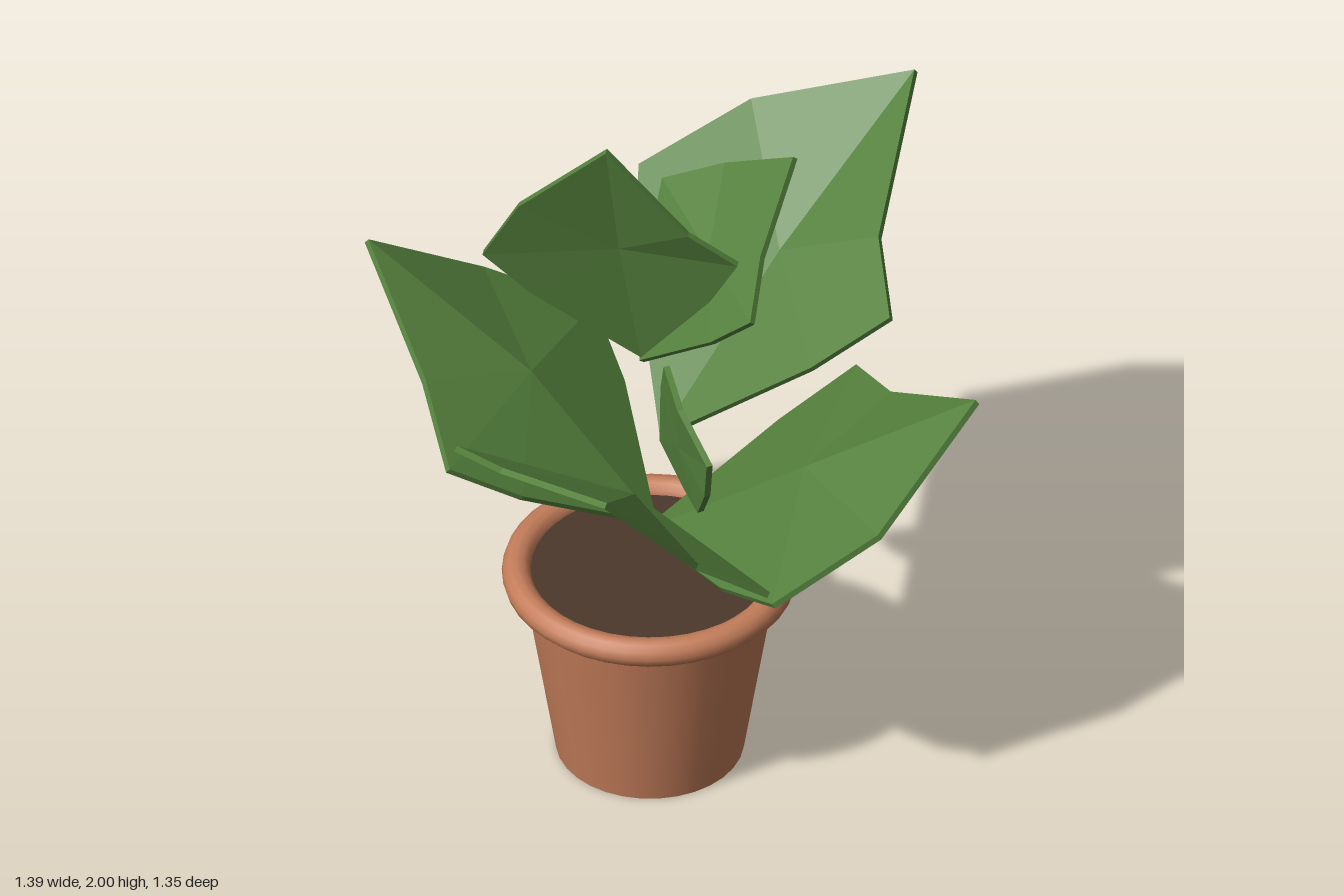
import * as THREE from 'three';

const terracotta = new THREE.MeshStandardMaterial({ color: 0xc47d5a });
terracotta.name = 'terracotta';
const soilBrown = new THREE.MeshStandardMaterial({ color: 0x4d382b });
soilBrown.name = 'soil brown';
const leafGreen = new THREE.MeshStandardMaterial({ color: 0x54803c });
leafGreen.name = 'leaf green';

const HALF_THICKNESS = 0.008;

// Edge point between the base and a shoulder, bulging away from the leaf's axis.
function lowerEdge(base, shoulder, axis) {
  return base.clone().lerp(shoulder, 0.62).addScaledVector(shoulder.clone().sub(axis), 0.08);
}

// Thin faceted leaf: a fan from the centre to eight edge points, given thickness.
// Points run base, shoulder, upper edge, tip, upper edge, shoulder; ridge lifts the centre.
function leafGeometry(ridge, points) {
  const [base, shoulderA, upperA, tip, upperB, shoulderB] = points.map((p) => new THREE.Vector3(...p));
  const axis = base.clone().lerp(tip, 0.5);
  const edge = [
    base, lowerEdge(base, shoulderA, axis), shoulderA, upperA,
    tip, upperB, shoulderB, lowerEdge(base, shoulderB, axis),
  ];
  const normal = tip.clone().sub(base).cross(shoulderB.clone().sub(shoulderA)).normalize();
  const centre = shoulderA.clone().lerp(shoulderB, 0.5).lerp(axis, 0.5).addScaledVector(normal, ridge);

  const up = (p) => p.clone().addScaledVector(normal, HALF_THICKNESS);
  const down = (p) => p.clone().addScaledVector(normal, -HALF_THICKNESS);
  const corners = [];
  edge.forEach((p, i) => {
    const q = edge[(i + 1) % edge.length];
    corners.push(up(centre), up(p), up(q));
    corners.push(down(centre), down(q), down(p));
    corners.push(down(p), down(q), up(q), down(p), up(q), up(p));
  });
  const geometry = new THREE.BufferGeometry().setFromPoints(corners);
  geometry.computeVertexNormals();
  return geometry;
}

function addLeaf(foliage, name, ridge, ...points) {
  const leaf = new THREE.Mesh(leafGeometry(ridge, points), leafGreen);
  leaf.name = name;
  foliage.add(leaf);
}

function createPot() {
  const pot = new THREE.Group();
  pot.name = 'pot';
  pot.position.set(-0.13, 0, -0.01);

  const body = new THREE.Mesh(new THREE.CylinderGeometry(0.316, 0.235, 0.52, 32), terracotta);
  body.name = 'potBody';
  body.position.y = 0.26;

  const rim = new THREE.Mesh(new THREE.TorusGeometry(0.332, 0.037, 12, 40), terracotta);
  rim.name = 'potRim';
  rim.rotation.x = Math.PI / 2;
  rim.position.y = 0.538;

  const soil = new THREE.Mesh(new THREE.CylinderGeometry(0.302, 0.302, 0.03, 32), soilBrown);
  soil.name = 'soil';
  soil.position.y = 0.53;

  pot.add(body, rim, soil);
  return pot;
}

function createFoliage() {
  const foliage = new THREE.Group();
  foliage.name = 'foliage';

  // Four broad lower leaves
  addLeaf(foliage, 'frontLeftLeaf', 0.03,
    [-0.13, 0.62, -0.06], [0.01, 0.83, 0.58], [0.295, 0.96, 0.55],
    [0.595, 1.21, 0.405], [0.487, 0.99, 0.04], [0.46, 0.93, -0.165]);
  addLeaf(foliage, 'backLeftLeaf', -0.02,
    [-0.1, 0.95, -0.01], [0.44, 1.34, 0.18], [0.48, 1.42, -0.045],
    [0.69, 1.62, -0.42], [0.32, 1.48, -0.6], [0.05, 1.28, -0.675]);
  addLeaf(foliage, 'backRightLeaf', 0.06,
    [-0.12, 0.69, 0], [-0.09, 0.91, -0.62], [-0.37, 1.07, -0.65],
    [-0.695, 1.29, -0.57], [-0.663, 1.12, -0.19], [-0.667, 1.0, 0.025]);
  addLeaf(foliage, 'frontRightLeaf', 0.06,
    [-0.1, 0.68, 0], [-0.648, 1.07, 0.03], [-0.62, 1.21, 0.32],
    [-0.455, 1.32, 0.67], [-0.19, 1.0, 0.58], [0, 0.86, 0.57]);

  // Upright top leaves
  addLeaf(foliage, 'tallTopLeaf', 0.03,
    [-0.155, 1.23, 0], [-0.54, 1.575, -0.09], [-0.47, 1.765, -0.015],
    [-0.285, 1.995, 0.125], [-0.095, 1.745, 0.2], [0.025, 1.645, 0.23]);
  addLeaf(foliage, 'smallTopLeaf', 0.01,
    [-0.155, 1.21, 0], [0.055, 1.47, 0.255], [0.12, 1.57, 0.13],
    [0.255, 1.735, -0.03], [0.13, 1.62, -0.2], [0, 1.52, -0.31]);

  // Small leaf standing on edge in the middle
  addLeaf(foliage, 'innerFrontLeaf', 0.01,
    [-0.1, 0.95, 0], [-0.1, 0.96, 0.32], [-0.11, 1.08, 0.41],
    [-0.115, 1.2, 0.445], [-0.14, 1.26, 0.28], [-0.13, 1.285, 0.13]);

  return foliage;
}

export function createModel() {
  const model = new THREE.Group();
  model.name = 'pottedPlant';
  model.add(createPot(), createFoliage());
  return model;
}
